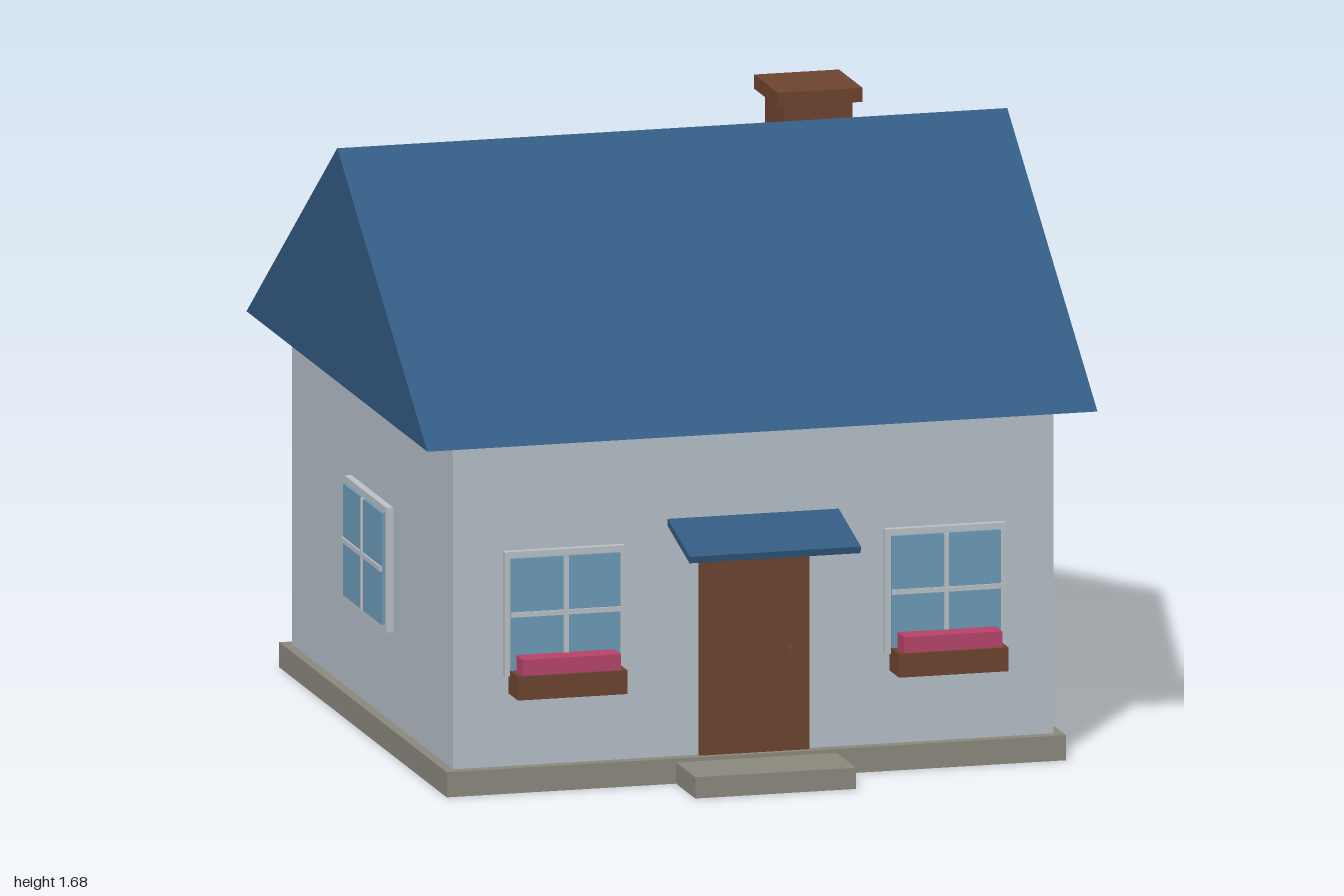
import * as THREE from 'three';

const mat = (name, color) => {
  const m = new THREE.MeshStandardMaterial({ color });
  m.name = name;
  return m;
};

export function createModel() {
  const wall = mat('wall plaster', 0xb6bfc9);
  const roof = mat('roof blue', 0x335b82);
  const wood = mat('brown wood', 0x6e4430);
  const stone = mat('stone', 0x8c897e);
  const glass = mat('window glass', 0x6d9cb9);
  const trim = mat('window trim', 0xbcc2c8);
  const bloom = mat('flower pink', 0xb8446a);

  const house = new THREE.Group();
  house.name = 'house';

  // Box given by its minimum and maximum corners
  const box = (name, material, a, b, parent = house) => {
    const geo = new THREE.BoxGeometry(b[0] - a[0], b[1] - a[1], b[2] - a[2]);
    const mesh = new THREE.Mesh(geo, material);
    mesh.name = name;
    mesh.position.set((a[0] + b[0]) / 2, (a[1] + b[1]) / 2, (a[2] + b[2]) / 2);
    parent.add(mesh);
    return mesh;
  };

  // Base, step and walls
  box('foundation', stone, [-0.887, 0, -0.925], [0.887, 0.071, 0.802]);
  box('doorStep', stone, [-0.23, 0, 0.8], [0.23, 0.06, 1]);
  box('walls', wall, [-0.86, 0.071, -0.893], [0.86, 0.997, 0.77]);

  // Solid gable roof, its profile in the z-y plane swept along x
  const gable = new THREE.Shape([
    new THREE.Vector2(-1, 0.995),
    new THREE.Vector2(0.865, 0.995),
    new THREE.Vector2(-0.065, 1.655),
  ]);
  const roofGeo = new THREE.ExtrudeGeometry(gable, { depth: 1.92, bevelEnabled: false });
  roofGeo.translate(0, 0, -0.96).rotateY(-Math.PI / 2);
  const roofMesh = new THREE.Mesh(roofGeo, roof);
  roofMesh.name = 'roof';
  house.add(roofMesh);

  // Chimney
  box('chimneyStack', wood, [0.389, 1.2, -0.51], [0.585, 1.645, -0.312]);
  box('chimneyCap', wood, [0.365, 1.645, -0.534], [0.608, 1.685, -0.291]);

  // Door, knob and sloping canopy
  box('door', wood, [-0.157, 0.071, 0.76], [0.157, 0.65, 0.785]);
  box('doorKnob', wood, [0.088, 0.345, 0.785], [0.108, 0.365, 0.8]);
  const canopy = box('doorCanopy', roof, [-0.245, -0.01, -0.12], [0.245, 0.01, 0.12]);
  canopy.position.set(0, 0.704, 0.881);
  canopy.rotation.x = 0.25;

  // Window facing local +z: backing frame, glass plate and glazing bars
  const addWindow = (name, w, x, z, turn) => {
    const g = new THREE.Group();
    g.name = name;
    const h = 0.352;
    box('frame', trim, [-w / 2, -h / 2, -0.01], [w / 2, h / 2, 0.02], g);
    box('glass', glass, [-w / 2 + 0.016, -h / 2 + 0.018, 0.02], [w / 2 - 0.016, h / 2 - 0.018, 0.029], g);
    box('uprightBar', trim, [-0.007, -h / 2 + 0.018, 0.02], [0.007, h / 2 - 0.018, 0.034], g);
    box('crossBar', trim, [-w / 2 + 0.016, -0.007, 0.02], [w / 2 - 0.016, 0.007, 0.034], g);
    g.position.set(x, 0.504, z);
    g.rotation.y = turn;
    house.add(g);
  };

  for (const [side, s] of [['left', 1], ['right', -1]]) {
    addWindow(side + 'FrontWindow', 0.345, s * 0.545, 0.77, 0);
    addWindow(side + 'BackWindow', 0.345, s * 0.43, -0.893, Math.PI);
    addWindow(side + 'SideWindow', 0.433, s * 0.86, -0.0615, s * Math.PI / 2);

    // Flower box under each front window
    const x = s * 0.546;
    box(side + 'FlowerBox', wood, [x - 0.157, 0.278, 0.775], [x + 0.157, 0.345, 0.874]);
    box(side + 'Flowers', bloom, [x - 0.141, 0.345, 0.787], [x + 0.141, 0.39, 0.866]);
  }

  return house;
}
